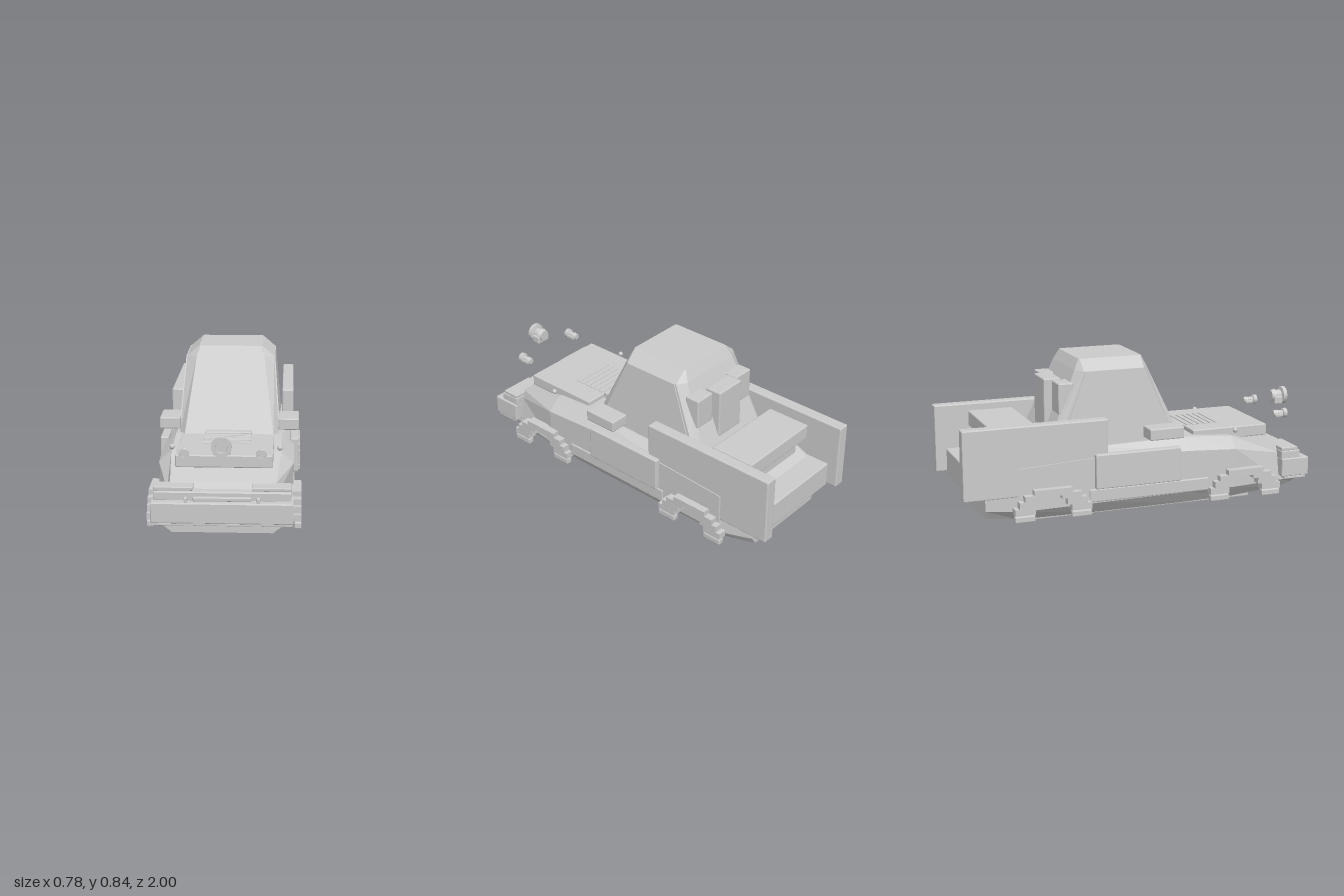
import * as THREE from 'three';
import { RoundedBoxGeometry } from 'three/addons/geometries/RoundedBoxGeometry.js';

const material = new THREE.MeshStandardMaterial({ color: 0xcccccc, flatShading: true });

// Skins a list of equal-length rings (counterclockwise seen from the last ring) and caps both ends.
function loft(rings) {
  const pos = [];
  const tri = (...pts) => pts.forEach((p) => pos.push(...p));
  const n = rings[0].length;
  for (let i = 0; i < rings.length - 1; i++) {
    for (let j = 0; j < n; j++) {
      const k = (j + 1) % n;
      tri(rings[i][j], rings[i][k], rings[i + 1][k]);
      tri(rings[i][j], rings[i + 1][k], rings[i + 1][j]);
    }
  }
  const first = rings[0], last = rings[rings.length - 1];
  for (let j = 1; j < n - 1; j++) {
    tri(first[0], first[j + 1], first[j]);
    tri(last[0], last[j], last[j + 1]);
  }
  const g = new THREE.BufferGeometry();
  g.setAttribute('position', new THREE.Float32BufferAttribute(pos, 3));
  g.computeVertexNormals();
  return g;
}

export function createModel() {
  const model = new THREE.Group();

  const add = (name, geometry, x = 0, y = 0, z = 0) => {
    const mesh = new THREE.Mesh(geometry, material);
    mesh.name = name;
    mesh.position.set(x, y, z);
    model.add(mesh);
    return mesh;
  };
  // Softly bevelled box given by its limits
  const box = (name, x0, x1, y0, y1, z0, z1) => {
    const w = x1 - x0, h = y1 - y0, d = z1 - z0;
    const r = Math.min(0.006, 0.2 * Math.min(w, h, d));
    return add(name, new RoundedBoxGeometry(w, h, d, 1, r),
      (x0 + x1) / 2, (y0 + y1) / 2, (z0 + z1) / 2);
  };
  const pair = (name, x0, x1, ...rest) => {
    box(name + 'Left', x0, x1, ...rest);
    box(name + 'Right', -x1, -x0, ...rest);
  };

  // Hull: half profiles from floor edge to deck edge, rear to front
  const hull = [
    [-0.87, [0.25, 0.045], [0.28, 0.09], [0.28, 0.2], [0.25, 0.28]],
    [-0.70, [0.30, 0.035], [0.35, 0.09], [0.35, 0.32], [0.285, 0.34]],
    [-0.25, [0.30, 0.03], [0.35, 0.095], [0.35, 0.345], [0.285, 0.385]],
    [0.25, [0.30, 0.03], [0.35, 0.10], [0.35, 0.33], [0.285, 0.395]],
    [0.53, [0.30, 0.035], [0.35, 0.10], [0.35, 0.315], [0.285, 0.375]],
    [0.83, [0.275, 0.05], [0.31, 0.10], [0.28, 0.25], [0.265, 0.295]],
    [0.93, [0.25, 0.065], [0.295, 0.10], [0.275, 0.2], [0.255, 0.25]],
  ].map(([z, ...half]) => [
    ...half.map(([x, y]) => [x, y, z]),
    ...half.slice().reverse().map(([x, y]) => [-x, y, z]),
  ]);
  add('hull', loft(hull));
  box('bellyPlate', -0.235, 0.235, 0, 0.045, -0.62, 0.67);

  // Cab: rings with cut corners, sill to roof
  const cab = [
    [0.385, 0.27, 0.24, 0.245, 0.20, -0.48, -0.515],
    [0.785, 0.238, 0.185, 0.065, 0.03, -0.31, -0.345],
    [0.842, 0.172, 0.165, 0.04, 0.035, -0.31, -0.315],
  ].map(([y, xs, xe, zf, zfs, zrs, zr]) => [
    [xe, y, zf], [xs, y, zfs], [xs, y, zrs], [xe, y, zr],
    [-xe, y, zr], [-xs, y, zrs], [-xs, y, zfs], [-xe, y, zf],
  ]);
  add('cab', loft(cab));

  // Side window panels, leaning with the cab
  for (const s of [1, -1]) {
    const ring = (y, x, z0, z1) => {
      const a = Math.min(s * x, s * (x - 0.012)), b = Math.max(s * x, s * (x - 0.012));
      return [[b, y, z1], [b, y, z0], [a, y, z0], [a, y, z1]];
    };
    add(s > 0 ? 'sideWindowLeft' : 'sideWindowRight',
      loft([ring(0.41, 0.274, -0.45, 0.18), ring(0.785, 0.244, -0.30, 0.025)]));
  }

  // Packs on the back of the cab
  box('rearPack', -0.09, 0.09, 0.46, 0.73, -0.485, -0.39);
  pair('rearPackWing', 0.1, 0.22, 0.56, 0.725, -0.445, -0.36);

  // Hood plate with louvres, cowl and hinge studs
  box('hoodPlate', -0.245, 0.245, 0.35, 0.415, 0.32, 0.768);
  for (let i = 0; i < 6; i++) {
    const z = 0.335 + i * 0.035;
    box('hoodLouvre', -0.125, 0.125, 0.41, 0.42, z, z + 0.026);
  }
  box('cowl', -0.125, 0.125, 0.385, 0.425, 0.265, 0.32);
  for (const s of [1, -1]) add('hoodStud', new THREE.SphereGeometry(0.014, 10, 8), s * 0.278, 0.403, 0.56);

  // Side armour, mirrors and sills
  pair('rearSideBox', 0.283, 0.347, 0.17, 0.545, -1, -0.212);
  pair('doorPanel', 0.33, 0.376, 0.175, 0.363, -0.29, 0.195);
  pair('mirror', 0.265, 0.377, 0.412, 0.475, 0.015, 0.21);
  pair('sill', 0.32, 0.356, 0.10, 0.172, -0.32, 0.37);

  // Rear deck and tail
  box('rearDeckBase', -0.235, 0.235, 0.30, 0.44, -0.76, -0.5);
  box('rearDeckPlate', -0.245, 0.245, 0.43, 0.515, -0.82, -0.57);
  box('tailBlock', -0.285, 0.285, 0.16, 0.3, -0.94, -0.78);

  // Front bumper and grille
  box('bumper', -0.35, 0.35, 0.125, 0.23, 0.82, 0.985);
  box('bumperLip', -0.345, 0.345, 0.11, 0.124, 0.84, 0.97);
  box('grilleBlock', -0.34, 0.34, 0.225, 0.273, 0.82, 0.935);
  pair('grilleTopBar', 0.145, 0.34, 0.273, 0.292, 0.82, 0.92);
  box('grilleBar', -0.143, 0.143, 0.23, 0.25, 0.93, 0.955);
  pair('grillePost', 0.17, 0.187, 0.228, 0.25, 0.92, 0.97);

  // Lamps: a barrel with a raised rim, a lens and a foot
  const lamp = (name, x, y, z0, z1, r, footDrop) => {
    const len = z1 - z0;
    const profile = [[0, 0], [0.6, 0], [0.75, 0.3], [0.6, 0.35], [0.6, 0.7], [1, 0.75],
      [1, 1], [0.58, 1], [0.54, 0.88], [0, 0.88]];
    const g = new THREE.LatheGeometry(profile.map(([a, b]) => new THREE.Vector2(a * r, b * len)), 20);
    g.rotateX(Math.PI / 2);
    add(name, g, x, y, z0);
    box(name + 'Foot', x - r * 0.85, x + r * 0.85, y - footDrop, y, z0 + len * 0.1, z0 + len * 0.7);
  };
  lamp('centreLamp', 0, 0.515, 0.915, 1.0, 0.05, 0.045);
  for (const s of [1, -1]) lamp('sideLamp', s * 0.19, 0.455, 0.835, 0.915, 0.027, 0.018);

  // Stepped wheel arches with separate feet
  const outer = [[0.21, 0.08], [0.21, 0.115], [0.185, 0.115], [0.185, 0.15], [0.155, 0.15],
    [0.155, 0.18], [0.105, 0.18], [0.105, 0.207]];
  const inner = [[0.045, 0.17], [0.045, 0.15], [0.075, 0.15], [0.075, 0.115], [0.1, 0.115], [0.1, 0.08]];
  const flip = (pts) => pts.slice().reverse().map(([u, v]) => [-u, v]);
  const outline = [...outer, ...flip(outer), ...flip(inner), ...inner];
  const archShape = new THREE.Shape(outline.map(([u, v]) => new THREE.Vector2(u, v)));
  const archGeometry = new THREE.ExtrudeGeometry(archShape, { depth: 0.05, bevelEnabled: false });
  archGeometry.translate(0, 0, -0.025).rotateY(Math.PI / 2);
  for (const z of [0.577, -0.53]) {
    for (const s of [1, -1]) add('wheelArch', archGeometry, s * 0.365, 0, z);
    for (const dz of [-0.155, 0.155]) {
      pair('archFoot', 0.355, 0.39, 0.042, 0.077, z + dz - 0.055, z + dz + 0.055);
    }
  }

  return model;
}
